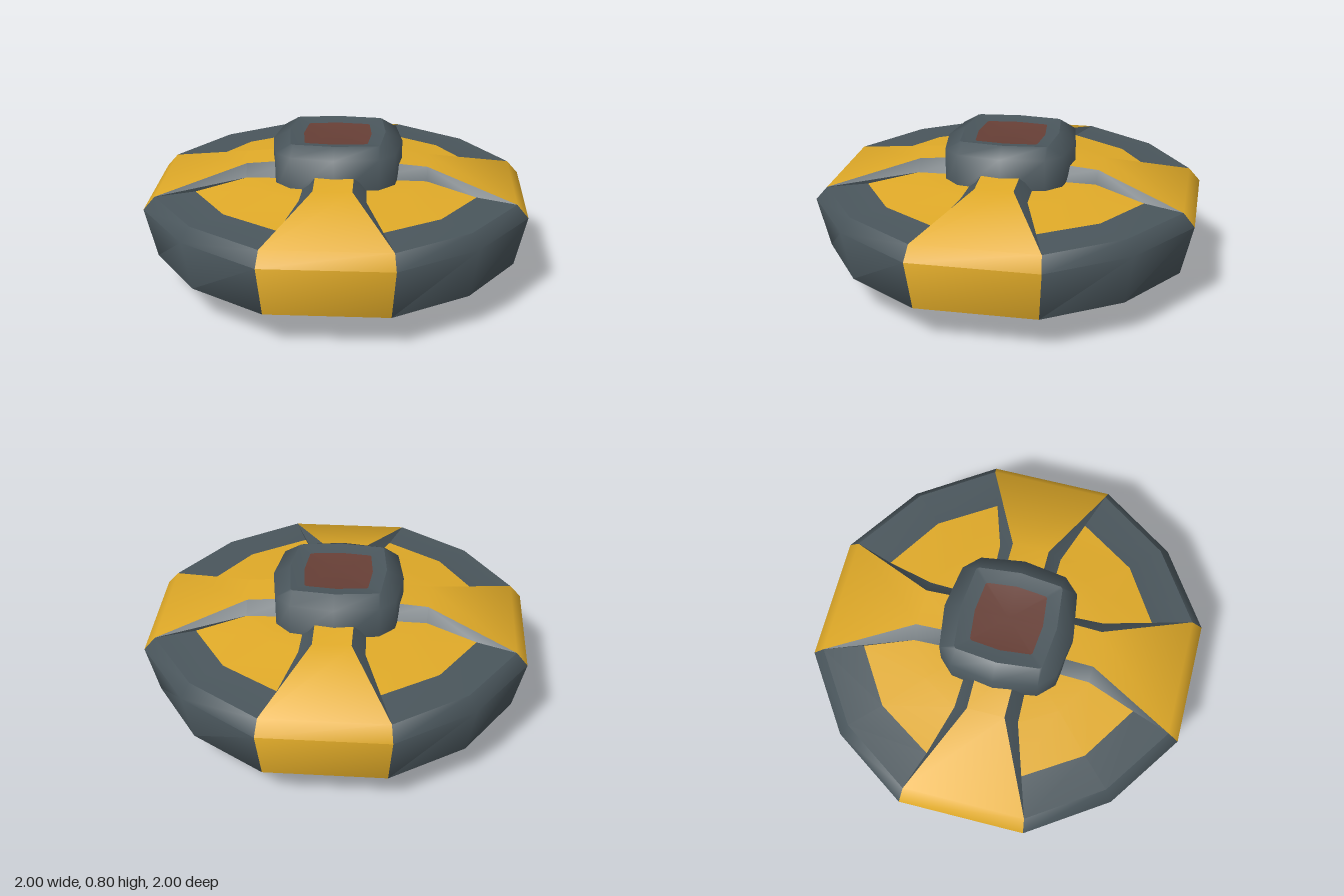
import * as THREE from 'three';
import { toCreasedNormals } from 'three/addons/utils/BufferGeometryUtils.js';

const material = (name, color) => {
  const m = new THREE.MeshStandardMaterial({ color });
  m.name = name;
  return m;
};

// Collects faces per colour and turns them into one mesh with creased normals
class Part {
  constructor(name, crease) {
    this.name = name;
    this.crease = crease;
    this.faces = new Map();
  }
  tri(mat, a, b, c) {
    if (!this.faces.has(mat)) this.faces.set(mat, []);
    this.faces.get(mat).push(...a, ...b, ...c);
  }
  quad(mat, a, b, c, d) {
    const same = (p, q) => p.every((v, i) => v === q[i]);
    if (!same(a, b)) this.tri(mat, a, b, c);
    if (!same(c, d)) this.tri(mat, a, c, d);
  }
  mesh() {
    let geo = new THREE.BufferGeometry();
    const all = [...this.faces.values()].flat();
    geo.setAttribute('position', new THREE.Float32BufferAttribute(all, 3));
    geo = toCreasedNormals(geo, this.crease);
    geo.clearGroups();
    let start = 0;
    [...this.faces.values()].forEach((f, i) => {
      geo.addGroup(start, f.length / 3, i);
      start += f.length / 3;
    });
    const mesh = new THREE.Mesh(geo, [...this.faces.keys()]);
    mesh.name = this.name;
    return mesh;
  }
}

export function createModel() {
  const yellow = material('yellow', 0xe0aa28);
  const slate = material('slate grey', 0x4a565c);
  const red = material('dull red', 0x673f36);
  const brown = material('brown', 0xa05c12);

  const shell = new Part('shell', 1.0);
  const deck = new Part('deck', 0.5);
  const hub = new Part('hub', 1.25);
  const cap = new Part('hubTop', 0.3);

  // Arm sections from the underside, round the rim, up to the hub:
  // height, reach, half width, position of the corner between arms
  const rows = [
    [0.005, 0.14, 0.14, 0.14],
    [0.08, 0.64, 0.22, 0.475],
    [0.19, 0.94, 0.31, 0.69],
    [0.46, 1.0, 0.33, 0.73],
    [0.53, 0.94, 0.32, 0.69],
    [0.645, 0.48, 0.1],
    [0.67, 0.2, 0.1],
  ];
  const right = ([y, a, w]) => [w, y, a];
  const left = ([y, a, w]) => [-w, y, a];
  const corner = ([y, , , d]) => [d, y, d];
  const side = ([y, a, w]) => [a, y, w];
  const swap = ([x, y, z]) => [z, y, x];

  for (let k = 0; k < 4; k++) {
    const turn = ([x, y, z]) => {
      for (let i = 0; i < k; i++) [x, z] = [z, -x];
      return [x, y, z];
    };
    const quad = (part, mat, ...p) => part.quad(mat, ...p.map(turn));

    // Yellow arm, and the panels beside it
    for (let i = 0; i < rows.length - 1; i++) {
      const a = rows[i], b = rows[i + 1];
      quad(shell, yellow, left(a), right(a), right(b), left(b));
      if (i > 3) continue;
      const mat = i === 0 ? brown : slate;
      quad(shell, mat, right(a), corner(a), corner(b), right(b));
      quad(shell, mat, corner(a), side(a), side(b), corner(b));
    }
    // Middle of the underside
    shell.tri(yellow, [0, 0, 0], turn(right(rows[0])), turn(left(rows[0])));

    // Deck between two arms: rim, sloping panel, flat middle
    const bands = [
      [right(rows[4]), corner(rows[4]), side(rows[4])],
      [[0.25, 0.537, 0.735], [0.545, 0.537, 0.545], [0.735, 0.537, 0.25]],
      [[0.17, 0.59, 0.475], [0.36, 0.59, 0.36], [0.475, 0.59, 0.17]],
      [[0.16, 0.59, 0.16], [0.16, 0.59, 0.16], [0.16, 0.59, 0.16]],
    ];
    for (let i = 0; i < 3; i++) {
      for (let j = 0; j < 2; j++) {
        const a = bands[i], b = bands[i + 1];
        quad(deck, i ? yellow : slate, a[j], a[j + 1], b[j + 1], b[j]);
      }
    }
    // Raised walls of the two arms facing this panel
    const top1 = right(rows[5]), top2 = right(rows[6]);
    const walls = [
      [bands[0][0], bands[1][0], bands[2][0], top1],
      [bands[2][0], bands[3][0], top2, top1],
    ];
    for (const w of walls) {
      quad(deck, slate, ...w);
      quad(deck, slate, ...w.map(swap).reverse());
    }

    // Hub: rounded square walls, bevel, frame and sunken plate
    const ring = (y, mid, c1, c2, s = 1) =>
      [[0, mid], [c1, c2], [c2, c1], [mid, 0]].map(([x, z]) => [x * s, y, z * s]);
    const levels = [
      ring(0.55, 0.345, 0.23, 0.31),
      ring(0.755, 0.345, 0.23, 0.31),
      ring(0.802, 0.255, 0.22, 0.232),
      ring(0.788, 0.255, 0.22, 0.232, 0.71),
      ring(0.788, 0, 0, 0),
    ];
    for (let i = 0; i < 4; i++) {
      for (let j = 0; j < 3; j++) {
        const a = levels[i], b = levels[i + 1];
        quad(i < 2 ? hub : cap, i < 3 ? slate : red, a[j], a[j + 1], b[j + 1], b[j]);
      }
    }
  }

  const group = new THREE.Group();
  group.name = 'saucer';
  group.add(...[shell, deck, hub, cap].map((p) => p.mesh()));
  return group;
}
